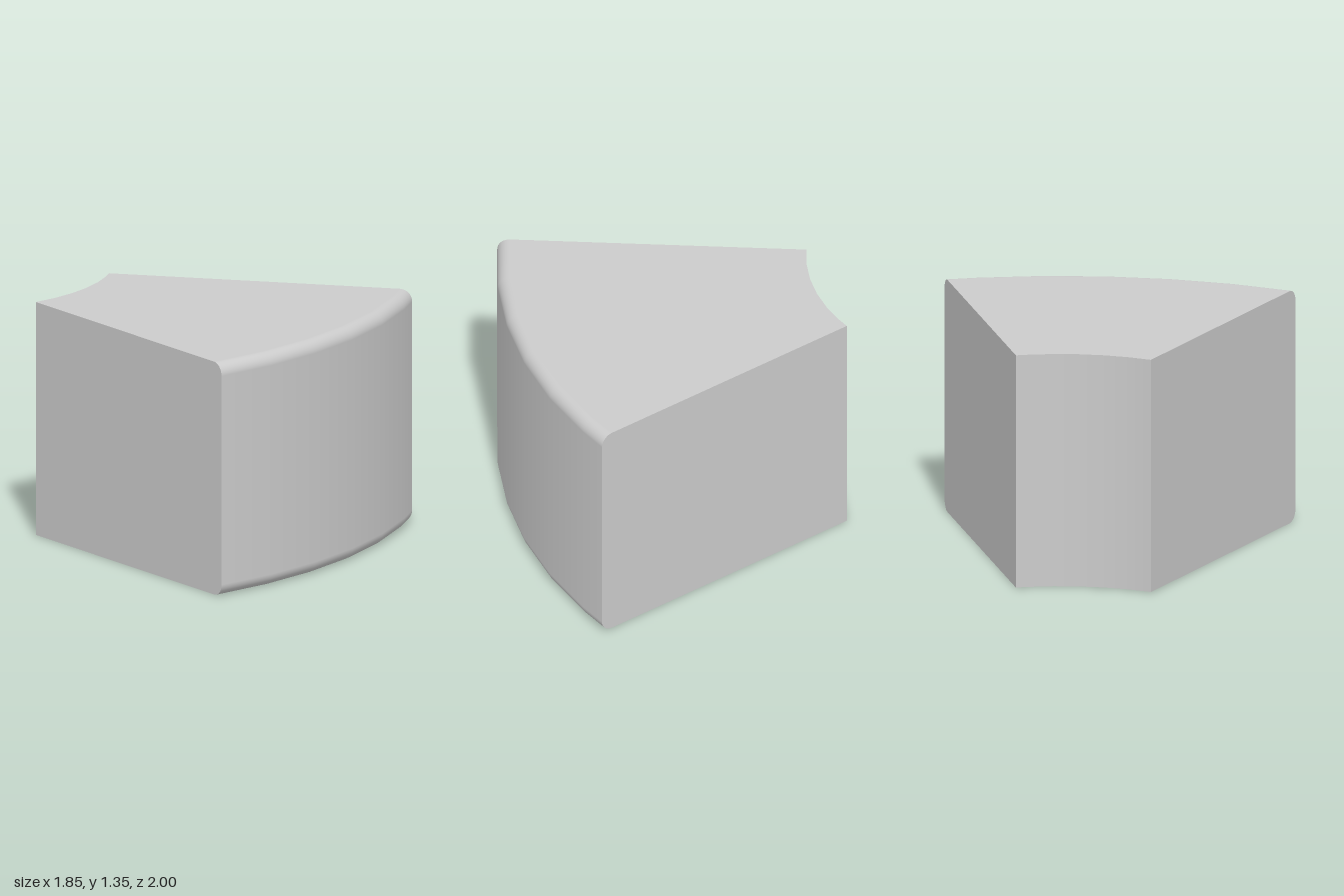
import * as THREE from 'three';

const INNER = 1.083, OUTER = 2.815, HEIGHT = 1.345, FILLET = 0.07;
const SWEEP = THREE.MathUtils.degToRad(41.15), STEP = THREE.MathUtils.degToRad(7.5);

// Arc angles: regular steps with a shorter last one
const angles = [];
for (let a = 0; a < SWEEP; a += STEP) angles.push(a);
angles.push(SWEEP);

// Outer profile points [radius, y, normal r, normal y], bottom to top
function outerProfile(steps = 8) {
  const pts = [];
  for (const end of [0, 1]) {
    for (let i = 0; i <= steps; i++) {
      const t = (end - 1 + i / steps) * Math.PI / 2;
      const y = end ? HEIGHT - FILLET : FILLET;
      pts.push([OUTER - FILLET + FILLET * Math.cos(t), y + FILLET * Math.sin(t), Math.cos(t), Math.sin(t)]);
    }
  }
  return pts;
}

// Sweep a profile around the vertical axis, keeping the given normals
function sweep(profile) {
  const position = [], normal = [], index = [], n = profile.length;
  angles.forEach((a, j) => {
    const s = Math.sin(a), c = Math.cos(a);
    profile.forEach(([r, y, nr, ny], i) => {
      position.push(r * s, y, r * c);
      normal.push(nr * s, ny, nr * c);
      if (j && i) {
        const d = j * n + i, b = d - n;
        index.push(b - 1, d - 1, d, b - 1, d, b);
      }
    });
  });
  const g = new THREE.BufferGeometry();
  g.setAttribute('position', new THREE.Float32BufferAttribute(position, 3));
  g.setAttribute('normal', new THREE.Float32BufferAttribute(normal, 3));
  g.setIndex(index);
  return g;
}

// Flat end wall in the shape of the cross-section
function endWall(profile, sign, turn) {
  const pts = [[INNER, 0], ...profile, [INNER, HEIGHT]];
  const shape = new THREE.Shape(pts.map(([r, y]) => new THREE.Vector2(sign * r, y)));
  return new THREE.ShapeGeometry(shape).rotateY(turn);
}

export function createModel() {
  const group = new THREE.Group();
  group.name = 'curvedWedgeBlock';
  const material = new THREE.MeshStandardMaterial({ color: 0xcccccc });
  const add = (name, geometry) => {
    const mesh = new THREE.Mesh(geometry, material);
    mesh.name = name;
    mesh.position.set(-0.925, 0, -1.815); // arc centre
    group.add(mesh);
  };

  const outer = outerProfile();
  const rim = OUTER - FILLET;
  add('outerWall', sweep(outer));
  add('topFace', sweep([[rim, HEIGHT, 0, 1], [INNER, HEIGHT, 0, 1]]));
  add('innerWall', sweep([[INNER, HEIGHT, -1, 0], [INNER, 0, -1, 0]]));
  add('bottomFace', sweep([[INNER, 0, 0, -1], [rim, 0, 0, -1]]));
  add('rightEndWall', endWall(outer, 1, -Math.PI / 2));
  add('leftEndWall', endWall(outer, -1, SWEEP + Math.PI / 2));
  return group;
}
